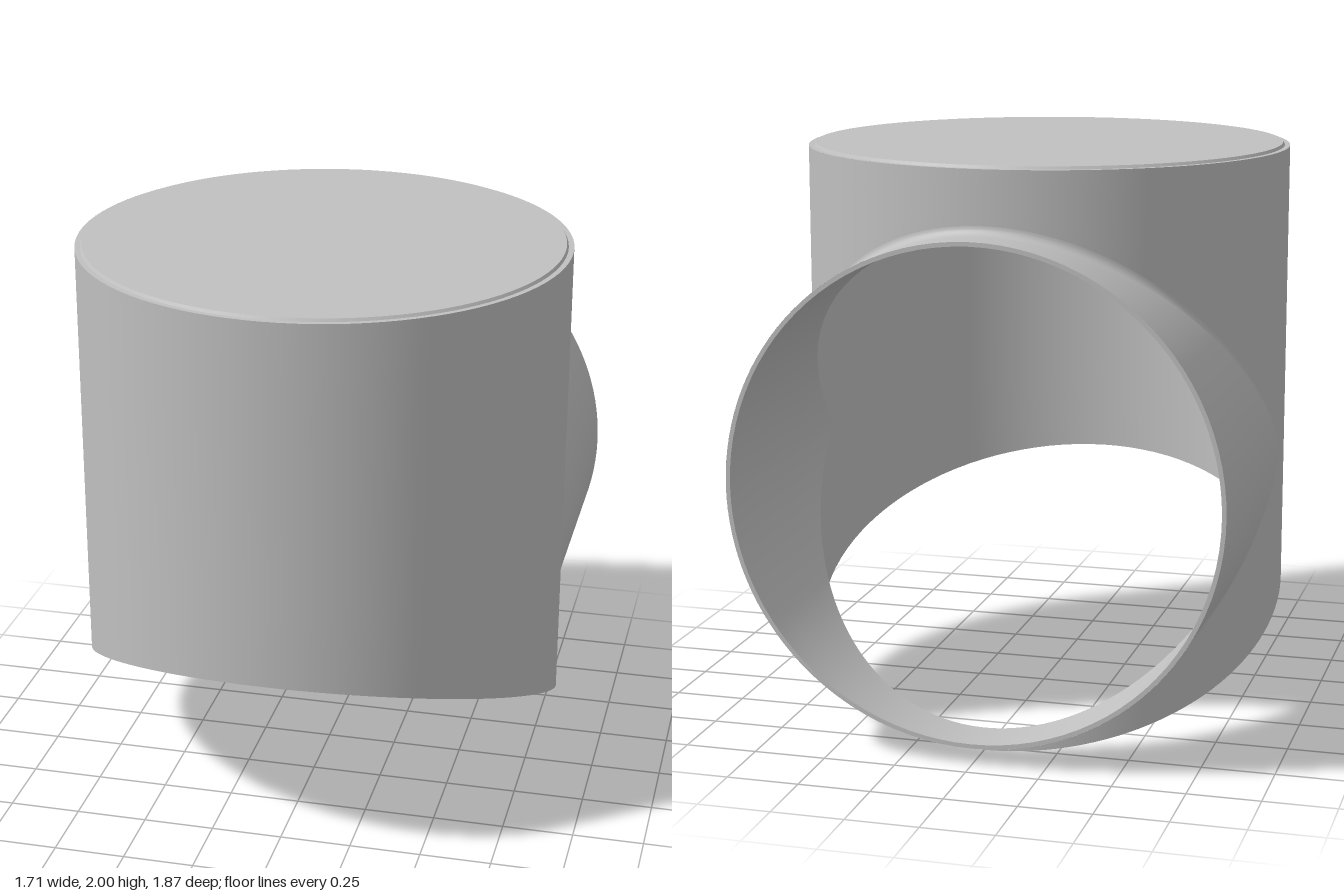
import * as THREE from 'three';

const R = 0.857, INNER = 0.842, FILLET = 0.03;
const YC = 0.917, ZC = 0.0775;            // where the two pipe axes cross
const TOP = 1.99, LID_BOTTOM = 1.85, BACK = -0.935;
const { sin, cos, PI, abs } = Math;

// height of the slanted bottom cut at depth z
const cutY = (z) => 0.405 * (z + 0.78);

// surface from a rule f(u, v) -> [x, y, z], with u and v from 0 to 1
function grid(nu, nv, f) {
  const pos = [], idx = [];
  for (let i = 0; i <= nu; i++) {
    for (let j = 0; j <= nv; j++) pos.push(...f(i / nu, j / nv));
  }
  for (let i = 0; i < nu; i++) {
    for (let j = 0; j < nv; j++) {
      const a = i * (nv + 1) + j, b = a + nv + 1;
      idx.push(a, b, a + 1, b, b + 1, a + 1);
    }
  }
  const g = new THREE.BufferGeometry();
  g.setAttribute('position', new THREE.Float32BufferAttribute(pos, 3));
  g.setIndex(idx);
  g.computeVertexNormals();
  return g;
}

export function createModel() {
  const group = new THREE.Group();
  const grey = new THREE.MeshStandardMaterial({ color: 0xc0c0c0, side: THREE.DoubleSide });
  grey.name = 'grey';
  const add = (parent, name, geometry) => {
    const m = new THREE.Mesh(geometry, grey);
    m.name = name;
    parent.add(m);
    return m;
  };
  const lerp = THREE.MathUtils.lerp;

  // one skin of the elbow: upright pipe, back pipe and the fillet between them
  function skin(name, r, fillet, top) {
    const g = new THREE.Group();
    g.name = name;
    const o = r + fillet;
    const wall = (t, yFrom, yTo, v) => {
      const z = ZC - r * sin(t);
      return [r * cos(t), lerp(yFrom, yTo(z), v), z];
    };
    add(g, 'frontWall', grid(48, 4, (u, v) => wall(PI * (1 + u), top, cutY, v)));
    add(g, 'backWallAbove', grid(64, 4, (u, v) =>
      wall(PI * u, top, () => YC + o * sin(PI * u), v)));
    add(g, 'backWallBelow', grid(64, 4, (u, v) =>
      wall(PI * u, YC - o * sin(PI * u), cutY, v)));
    add(g, 'backPipe', grid(128, 4, (u, v) => {
      const t = 2 * PI * u;
      return [r * cos(t), YC + r * sin(t), lerp(ZC - o * abs(sin(t)), BACK, v)];
    }));
    if (fillet) {
      // arc of a ball rolled along the joint, above and below
      for (const side of [1, -1]) {
        add(g, side > 0 ? 'upperFillet' : 'lowerFillet', grid(64, 6, (u, v) => {
          const c = cos(PI * u), s = sin(PI * u);
          const d = new THREE.Vector3(-c, -side * s * sin(v * PI / 2), s * cos(v * PI / 2));
          d.setLength(fillet);
          return [o * c + d.x, YC + side * o * s + d.y, ZC - o * s + d.z];
        }));
      }
    }
    group.add(g);
  }
  skin('outerSkin', R, FILLET, TOP);
  skin('innerSkin', INNER, 0, LID_BOTTOM);

  // thin rims joining both skins
  add(group, 'backRim', grid(96, 1, (u, v) => {
    const t = 2 * PI * u, r = lerp(R, INNER, v);
    return [r * cos(t), YC + r * sin(t), BACK];
  }));
  add(group, 'bottomRim', grid(96, 1, (u, v) => {
    const t = 2 * PI * u, r = lerp(R, INNER, v), z = ZC - r * sin(t);
    return [r * cos(t), cutY(z), z];
  }));

  // closed top: flat disc, small step and flat shoulder
  const lid = new THREE.Group();
  lid.name = 'lid';
  lid.position.z = ZC;
  group.add(lid);
  const disc = add(lid, 'lidTop', new THREE.CircleGeometry(0.832, 96));
  disc.rotation.x = -PI / 2;
  disc.position.y = 2;
  const step = add(lid, 'lidStep', new THREE.CylinderGeometry(0.832, 0.838, 0.01, 96, 1, true));
  step.position.y = 1.995;
  const shoulder = add(lid, 'lidShoulder', new THREE.RingGeometry(0.838, R, 96));
  shoulder.rotation.x = -PI / 2;
  shoulder.position.y = TOP;
  const under = add(lid, 'lidUnderside', new THREE.CircleGeometry(INNER, 96));
  under.rotation.x = PI / 2;
  under.position.y = LID_BOTTOM;

  // slim collar inside the front of the pipe, just below the lid
  const collar = add(lid, 'innerCollar',
    new THREE.CylinderGeometry(0.839, 0.839, 0.15, 64, 1, true, -PI / 2, PI));
  collar.position.y = 1.775;

  return group;
}
